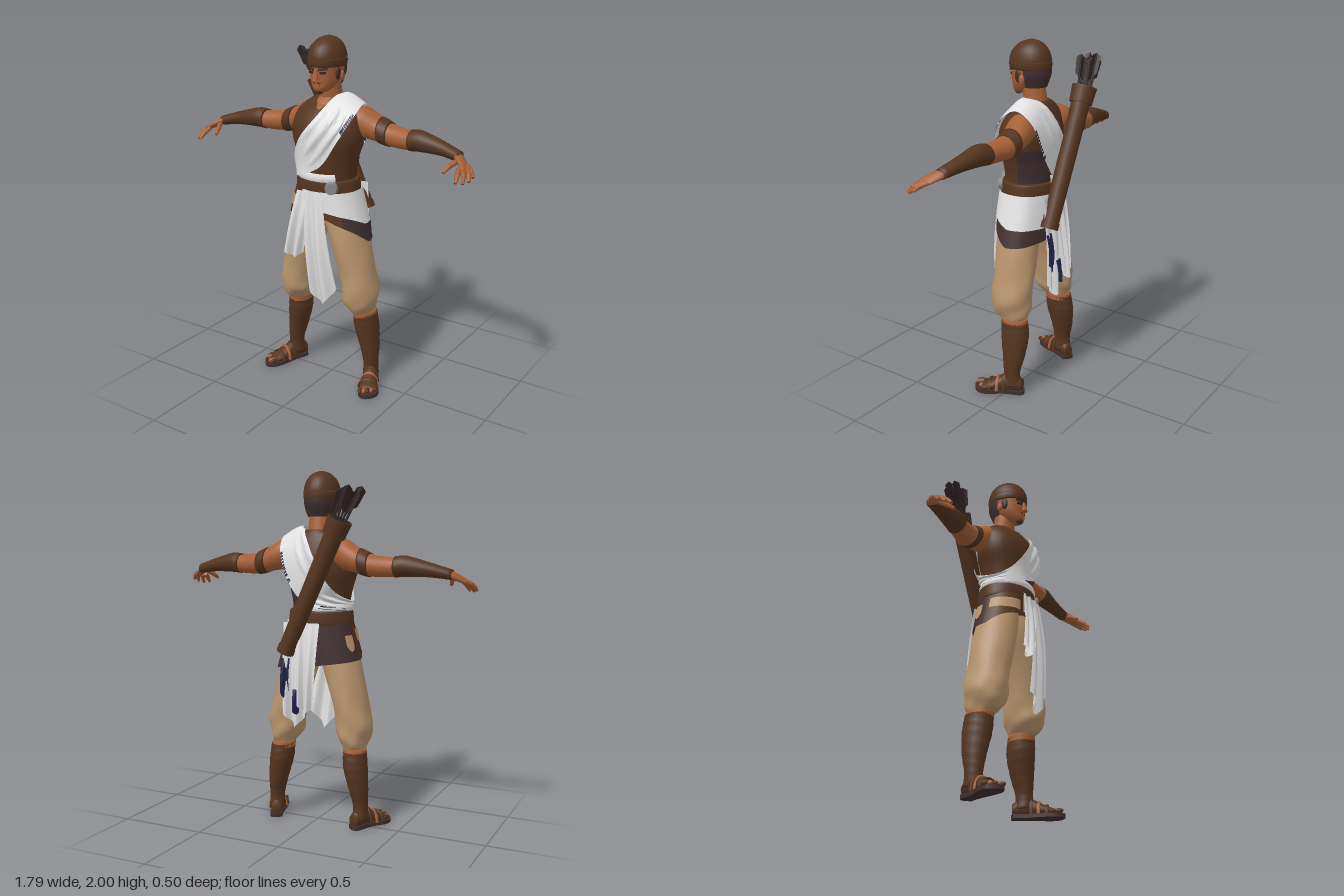
import * as THREE from 'three';

const mat = (name, color) => Object.assign(
  new THREE.MeshStandardMaterial({ color, side: THREE.DoubleSide }), { name });
const skin = mat('skin', 0xa55f36), leather = mat('leather brown', 0x54341f), dark = mat('dark cloth', 0x402e2f),
  linen = mat('tan linen', 0xb8946c), white = mat('white cloth', 0xe0e0e0), navy = mat('navy lining', 0x20204a),
  black = mat('dark feather', 0x2e2221), silver = mat('buckle metal', 0x85868a);
const V = (x, y, z) => new THREE.Vector3(x, y, z);
const lerp = THREE.MathUtils.lerp, { sin, cos, PI, max, abs, hypot } = Math;

function add(parent, name, geometry, material) {
  const mesh = new THREE.Mesh(geometry, material);
  mesh.name = name;
  parent.add(mesh);
  return mesh;
}

// Smooth surface from a rule f(u, v); optionally closed around v
function sheet(f, nu = 16, nv = 16, closed = false, flip = false) {
  const pos = [], idx = [], cols = closed ? nv : nv + 1;
  for (let i = 0; i <= nu; i++) for (let j = 0; j < cols; j++) pos.push(...f(i / nu, j / nv).toArray());
  for (let i = 0; i < nu; i++) for (let j = 0; j < nv; j++) {
    const a = i * cols + j, b = i * cols + (j + 1) % cols, c = a + cols, d = b + cols;
    idx.push(...(flip ? [a, b, c, b, d, c] : [a, c, b, b, c, d]));
  }
  const g = new THREE.BufferGeometry();
  g.setAttribute('position', new THREE.Float32BufferAttribute(pos, 3));
  g.setIndex(idx);
  g.computeVertexNormals();
  return g;
}

// Smoothly interpolated rings [cx, cy, cz, ra, rb], with closed ends
function rings(rows, n) {
  const c = new THREE.CatmullRomCurve3(rows.map(r => V(r[0], r[1], r[2])), false, 'catmullrom', 0.5);
  const s = new THREE.CatmullRomCurve3(rows.map(r => V(r[3], r[4], 0)), false, 'catmullrom', 0.5);
  const out = [];
  for (let i = 0; i <= n; i++) {
    const p = c.getPoint(i / n), q = s.getPoint(i / n);
    out.push([p.x, p.y, p.z, q.x, q.y]);
  }
  const end = r => [r[0], r[1], r[2], 0, 0];
  return [end(out[0]), ...out, end(out[n])];
}

// Elliptical loft along an axis, rows given in ascending order
function loft(rows, axis = 'y', n = 20, sides = 24, fold = () => 1) {
  const rs = rings(rows, n), m = rs.length - 1;
  return sheet((u, v) => {
    const [x, y, z, ra, rb] = rs[Math.round(u * m)], a = v * 2 * PI, k = fold(a, u);
    const p = ra * k * cos(a), q = rb * k * sin(a);
    return axis === 'y' ? V(x + p, y, z + q) : axis === 'x' ? V(x, y + p, z + q) : V(x + p, y + q, z);
  }, m, sides, true, axis !== 'y');
}

// Tapered rod between two points
function rod(a, b, ra, rb = ra, sides = 8) {
  const d = b.clone().sub(a), g = new THREE.CylinderGeometry(rb, ra, d.length(), sides);
  g.applyQuaternion(new THREE.Quaternion().setFromUnitVectors(V(0, 1, 0), d.normalize()));
  return g.translate(...a.clone().add(b).multiplyScalar(0.5).toArray());
}
const box = (w, h, d, x, y, z) => new THREE.BoxGeometry(w, h, d).translate(x, y, z);
const ball = (rx, ry, rz, x, y, z) => new THREE.SphereGeometry(1, 16, 12).scale(rx, ry, rz).translate(x, y, z);

const torsoRows = [[0, 1.1, .015, .175, .13], [0, 1.24, .022, .162, .137], [0, 1.35, .025, .18, .145],
  [0, 1.45, .022, .21, .16], [0, 1.53, .018, .21, .155], [0, 1.6, .005, .185, .125],
  [0, 1.65, -.012, .13, .088], [0, 1.68, -.015, .075, .065]];
const torsoRings = rings(torsoRows, 40).slice(1, -1);

// Moves a point outside the torso by a given gap
function drape(p, gap) {
  const r = torsoRings.reduce((b, s) => abs(s[1] - p.y) < abs(b[1] - p.y) ? s : b);
  const k = hypot(p.x / (r[3] + gap), (p.z - r[2]) / (r[4] + gap));
  if (k < 1 && k > 0) { p.x /= k; p.z = r[2] + (p.z - r[2]) / k; }
  return p;
}
// Panel lying on the torso between two angles and two heights
const panel = (a0, a1, y0, y1, gap) => sheet((u, v) => {
  const a = lerp(a0, a1, v);
  return drape(V(.05 * cos(a), lerp(y0, y1, u), .02 + .04 * sin(a)), gap);
}, 12, 30);

function buildHead(g) {
  add(g, 'neck', loft([[0, 1.58, -.02, .085, .08], [0, 1.65, -.01, .067, .068], [0, 1.78, .01, .06, .062]]), skin);
  add(g, 'head', loft([[0, 1.71, .085, .028, .035], [0, 1.73, .068, .052, .064], [0, 1.77, .047, .075, .087],
    [0, 1.82, .03, .086, .107], [0, 1.88, .026, .092, .112], [0, 1.95, .026, .07, .085]]), skin);
  add(g, 'cap', loft([[0, 1.855, .026, .097, .119], [0, 1.9, .026, .098, .121], [0, 1.95, .024, .082, .1],
    [0, 1.985, .02, .05, .06], [0, 2, .018, .012, .014]]), leather);
  add(g, 'capBand', loft([[0, 1.845, .026, .097, .12], [0, 1.865, .026, .101, .123], [0, 1.89, .026, .1, .122]], 'y', 6), leather);
  add(g, 'backHair', sheet((u, v) => {
    const a = PI + .1 + v * (PI - .2), k = lerp(.78, 1, Math.min(1, u * 1.8));
    return V(.095 * k * cos(a), lerp(1.75, 1.87, u), .02 + .115 * k * sin(a));
  }, 8, 18), dark);
  add(g, 'nose', rod(V(0, 1.775, .142), V(0, 1.835, .136), .018, .007), skin);
  add(g, 'moustache', box(.046, .009, .01, 0, 1.762, .128), leather);
  add(g, 'mouth', box(.036, .006, .008, 0, 1.749, .127), dark);
  add(g, 'goatee', ball(.026, .02, .022, 0, 1.718, .105), leather);
  for (const s of [-1, 1]) {
    add(g, 'ear', ball(.012, .028, .018, s * .09, 1.795, .022), skin);
    add(g, 'sideburn', ball(.012, .036, .02, s * .082, 1.812, .05), dark);
    const eye = add(g, 'eye', box(.032, .012, .008, 0, 0, 0), black);
    eye.position.set(s * .036, 1.816, .127);
    eye.rotation.y = s * .4;
    const brow = add(g, 'brow', box(.05, .013, .009, 0, 0, 0), dark);
    brow.position.set(s * .038, 1.836, .128);
    brow.rotation.set(0, s * .4, s * .15);
  }
}

function buildArm(g) {
  add(g, 'upperArm', loft([[.14, 1.55, -.03, .075, .075], [.2, 1.545, -.042, .085, .082], [.28, 1.515, -.055, .07, .073],
    [.36, 1.49, -.055, .06, .066], [.44, 1.483, -.043, .055, .058], [.52, 1.483, -.033, .05, .054]], 'x'), skin);
  add(g, 'armBand', loft([[.296, 1.51, -.055, .072, .077], [.325, 1.5, -.056, .07, .075], [.352, 1.492, -.056, .066, .071]], 'x', 6), leather);
  add(g, 'bracer', loft([[.488, 1.484, -.035, .057, .062], [.55, 1.488, -.03, .056, .058], [.67, 1.472, -.018, .04, .044],
    [.79, 1.447, .005, .028, .037]], 'x'), leather);
  add(g, 'palm', loft([[.76, 1.453, 0, .023, .03], [.8, 1.437, .025, .021, .042], [.84, 1.413, .06, .016, .042],
    [.855, 1.403, .075, .01, .032]], 'x', 12, 16), skin);
  // Fingers: root, knuckle, tip
  const fingers = [[.845, 1.414, .035, .875, 1.4, .06, .9, 1.375, .085], [.848, 1.41, .058, .878, 1.39, .088, .893, 1.36, .118],
    [.84, 1.408, .08, .862, 1.385, .115, .872, 1.352, .145], [.825, 1.41, .09, .835, 1.385, .13, .842, 1.355, .162],
    [.785, 1.43, .045, .765, 1.41, .085, .752, 1.385, .12]];
  for (const f of fingers) {
    const [a, b, c] = [0, 3, 6].map(i => V(f[i], f[i + 1], f[i + 2]));
    add(g, 'finger', rod(a, b, .014, .013), skin);
    add(g, 'knuckle', ball(.013, .013, .013, ...b.toArray()), skin);
    add(g, 'fingertip', rod(b, c, .013, .008), skin);
  }
}

function buildLeg(g) {
  add(g, 'trouserLeg', loft([[.225, .445, -.01, .05, .065], [.22, .47, 0, .068, .095], [.213, .52, .01, .092, .118],
    [.212, .59, .01, .103, .122], [.19, .7, .01, .1, .122], [.152, .85, .015, .107, .126], [.108, 1, .018, .112, .12],
    [.08, 1.12, .015, .09, .11]], 'y', 36, 32,
    (a, t) => 1 + (.04 * sin(a * 3 + t * 22) + .025 * sin(a * 7 - t * 14)) * (1 - t)), linen);
  add(g, 'knee', loft([[.228, .42, -.02, .066, .08], [.225, .46, -.015, .064, .078]], 'y', 4), skin);
  add(g, 'shinWrap', loft([[.265, .05, -.03, .045, .052], [.267, .13, -.025, .042, .05], [.255, .23, -.03, .054, .068],
    [.235, .35, -.027, .067, .084], [.228, .44, -.02, .066, .08]], 'y', 24, 20, (a, t) => 1 + .015 * sin(t * 55 + a)), leather);
  // Foot points forward, turned outward
  const foot = new THREE.Group();
  foot.name = 'foot';
  foot.position.set(.268, 0, -.03);
  foot.rotation.y = .38;
  g.add(foot);
  const outline = new THREE.Shape(new THREE.SplineCurve([[-.035, -.055], [0, -.07], [.035, -.055], [.04, .05], [.066, .14],
    [.05, .2], [-.01, .228], [-.045, .19], [-.048, .12], [-.035, .03], [-.035, -.055]].map(p => new THREE.Vector2(...p))).getPoints(40));
  add(foot, 'sole', new THREE.ExtrudeGeometry(outline, { depth: .022, bevelEnabled: false }).rotateX(PI / 2).translate(0, .022, 0), dark);
  add(foot, 'footTop', loft([[0, .05, -.06, .028, .035], [0, .065, -.01, .038, .055], [0, .058, .05, .04, .05],
    [.004, .04, .12, .05, .033], [.004, .032, .175, .046, .018]], 'z'), leather);
  for (let i = 0; i < 5; i++)
    add(foot, 'toe', ball(.012, .013, .025, -.034 + i * .021, .035, .195 - i * i * .0025), i % 2 ? skin : leather);
  for (const [z, w, h] of [[.045, .045, .108], [.085, .05, .09], [.13, .054, .072]])
    add(foot, 'strap', new THREE.TorusGeometry(1, .13, 6, 16, PI).scale(w, h - .02, .08).translate(.002, .02, z), z === .085 ? skin : leather);
}

// Wrapped skirt surface at an angle: 0 left, PI/2 front, PI right
const wrap = (a, y, gap) => {
  const t = (1.17 - y) / .25, k = 1 + .06 * sin(2 * a) ** 2;
  return V((lerp(.175, .25, t) + gap) * k * cos(a), y,
    .02 + (lerp(.138, .15, t) + gap + .003 * sin(a * 9)) * k * sin(a));
};
const band = (a0, a1, top, bottom, gap) => sheet((u, v) => {
  const a = lerp(a0, a1, v);
  return wrap(a, lerp(top, bottom(a), u), gap);
}, 10, 36);

// Hanging cloth: top and bottom edges [x0, x1, y, z], pleated, with a pointed hem
const tail = (t, b, point, pleats, bow = .03) => sheet((u, v) => {
  const y = lerp(t[2], b[2] + point * abs(v - .45) * 2, u);
  return V(lerp(lerp(t[0], t[1], v), lerp(b[0], b[1], v), u), y,
    lerp(t[3], b[3], u) + bow * sin(u * PI) + (.004 + .016 * u) * sin(v * pleats * 2 * PI));
}, 18, 32);

function buildClothes(g) {
  add(g, 'vest', loft(torsoRows, 'y', 40, 36), leather);
  add(g, 'darkVestSide', panel(-1.6, -.1, 1.24, 1.43, .004), dark);
  add(g, 'openCollar', sheet((u, v) => drape(V(lerp(-.065, .065, v) * (1 - u) * .6, lerp(1.675, 1.615, u), .05), .005), 10, 8), skin);
  add(g, 'waistWrap', sheet((u, v) => {
    const a = lerp(.85, 4.9, v);
    return V((.178 + .008 * sin(u * PI)) * cos(a), lerp(1.225, 1.275, u), .021 + (.148 + .006 * sin(u * PI)) * sin(a));
  }, 6, 36), white);
  add(g, 'belt', loft([[0, 1.155, .018, .184, .148], [0, 1.165, .018, .191, .155], [0, 1.225, .018, .184, .155],
    [0, 1.235, .018, .178, .148]], 'y', 10, 36), leather);
  const buckle = add(g, 'buckle', new THREE.CylinderGeometry(.032, .038, .024, 20).rotateX(PI / 2), silver);
  buckle.position.set(.105, 1.2, .153);
  buckle.rotation.y = .4;
  // Skirt: brown in front, dark around the left side and back
  const hem = a => .925 - .035 * cos(a) + .11 * max(0, sin(a));
  add(g, 'frontSkirt', band(.8, PI + .1, 1.17, hem, .008), leather);
  add(g, 'backSkirt', band(PI + .1, 2 * PI + .8, 1.17, hem, .008), dark);
  add(g, 'hipDrape', band(-1.35, 1.95, 1.175, a => .99 + .075 * max(0, sin(a)), .018), white);
  add(g, 'linenPatch', band(2.05, 3.1, 1.13, () => 1.065, .013), linen);
  add(g, 'linenPatch', band(3.4, 3.72, 1.1, a => 1.04 - .03 * sin((a - 3.4) * 9.8), .013), linen);
  // Hanging ends of the cloth
  add(g, 'longFrontTail', tail([-.05, .07, 1.17, .187], [-.03, .155, .5, .175], .12, 2, .022), white);
  add(g, 'shortFrontTail', tail([-.1, .02, 1.17, .182], [-.17, -.04, .77, .215], .05, 2, .01), white);
  add(g, 'longBackTail', tail([0, .15, 1.17, -.158], [.005, .145, .58, -.185], .08, 2, -.01), white);
  add(g, 'shortBackTail', tail([-.07, .07, 1.17, -.158], [-.055, .04, .67, -.215], .05, 2, -.01), white);
  add(g, 'tailLining', tail([.1, .15, .97, -.182], [.1, .152, .74, -.2], .05, 1, -.01), navy);
  add(g, 'tailLining', tail([.03, .075, .8, -.197], [.03, .07, .66, -.212], .03, 1, -.005), navy);
  // Shoulder sash: neck-side edge and arm-side edge of a closed loop
  const edge = pts => new THREE.CatmullRomCurve3(pts.map(p => V(...p)), true, 'catmullrom', .5);
  const inner = edge([[-.175, 1.29, .02], [-.145, 1.335, .14], [-.07, 1.47, .2], [.02, 1.6, .15], [.06, 1.68, .06],
    [.07, 1.7, -.02], [.04, 1.66, -.1], [-.03, 1.53, -.15], [-.12, 1.37, -.13]]);
  const outer = edge([[-.17, 1.235, .02], [-.1, 1.25, .17], [.05, 1.32, .18], [.15, 1.47, .16], [.2, 1.585, .09],
    [.205, 1.65, -.02], [.19, 1.58, -.12], [.14, 1.42, -.15], [.02, 1.27, -.13]]);
  const sash = (u, v, gap) => {
    const p = inner.getPoint(u).lerp(outer.getPoint(u), v);
    p.y += .02 * sin(v * PI) * max(0, (p.y - 1.6) * 10);
    return drape(p, gap + .006 * sin(v * 6 * PI));
  };
  add(g, 'sash', sheet((u, v) => sash(u, v, .015), 90, 24), white);
  for (const [u0, u1, v0] of [[.36, .46, .87], [.69, .8, .92], [.92, .98, .82]])
    add(g, 'sashLining', sheet((u, v) => sash(lerp(u0, u1, u), lerp(v0, 1, v), .022), 12, 4), navy);
}

function buildQuiver(g) {
  const low = V(.125, 1.01, -.185), top = V(-.2, 1.72, -.19);
  const at = t => low.clone().lerp(top, t);
  add(g, 'quiverBody', rod(low, top, .046, .053, 20), leather);
  add(g, 'quiverCollar', rod(at(.9), at(1.02), .064, .07, 20), leather);
  add(g, 'quiverMouth', rod(at(1.015), at(1.023), .058, .058, 20), black);
  add(g, 'quiverTip', rod(at(-.01), at(.04), .05, .05, 20), leather);
  // Arrows fan out slightly, each with three feathers
  const outline = new THREE.Shape([[0, -.12], [.024, -.095], [.026, -.005], [0, .012]].map(p => new THREE.Vector2(...p)));
  for (let i = 0; i < 9; i++) {
    const a = i * 2 * PI / 8, r = i === 8 ? 0 : 1;
    const from = at(1).add(V(.035 * r * cos(a), 0, .035 * r * sin(a)));
    const to = V(-.268 + .062 * r * cos(a), 1.885 + .018 * sin(i * 2.3), -.185 + .04 * r * sin(a));
    add(g, 'arrowShaft', rod(from, to, .006, .006, 6), black);
    const dir = to.clone().sub(from).normalize();
    for (let k = 0; k < 3; k++) {
      const feather = add(g, 'feather', new THREE.ShapeGeometry(outline).rotateY(k * 2 * PI / 3 + i), black);
      feather.quaternion.setFromUnitVectors(V(0, 1, 0), dir);
      feather.position.copy(to);
    }
  }
}

export function createModel() {
  const model = new THREE.Group();
  model.name = 'archer';
  const part = (name, build, mirror = 1, x = -.012) => {
    const g = new THREE.Group();
    g.name = name;
    g.scale.x = mirror;
    g.position.x = x;
    build(g);
    model.add(g);
  };
  part('headGroup', buildHead);
  part('clothes', buildClothes);
  part('quiver', buildQuiver);
  for (const [side, s] of [['left', 1], ['right', -1]]) {
    part(side + 'Arm', buildArm, s, -.012 * s);
    part(side + 'Leg', buildLeg, s);
  }
  return model;
}
